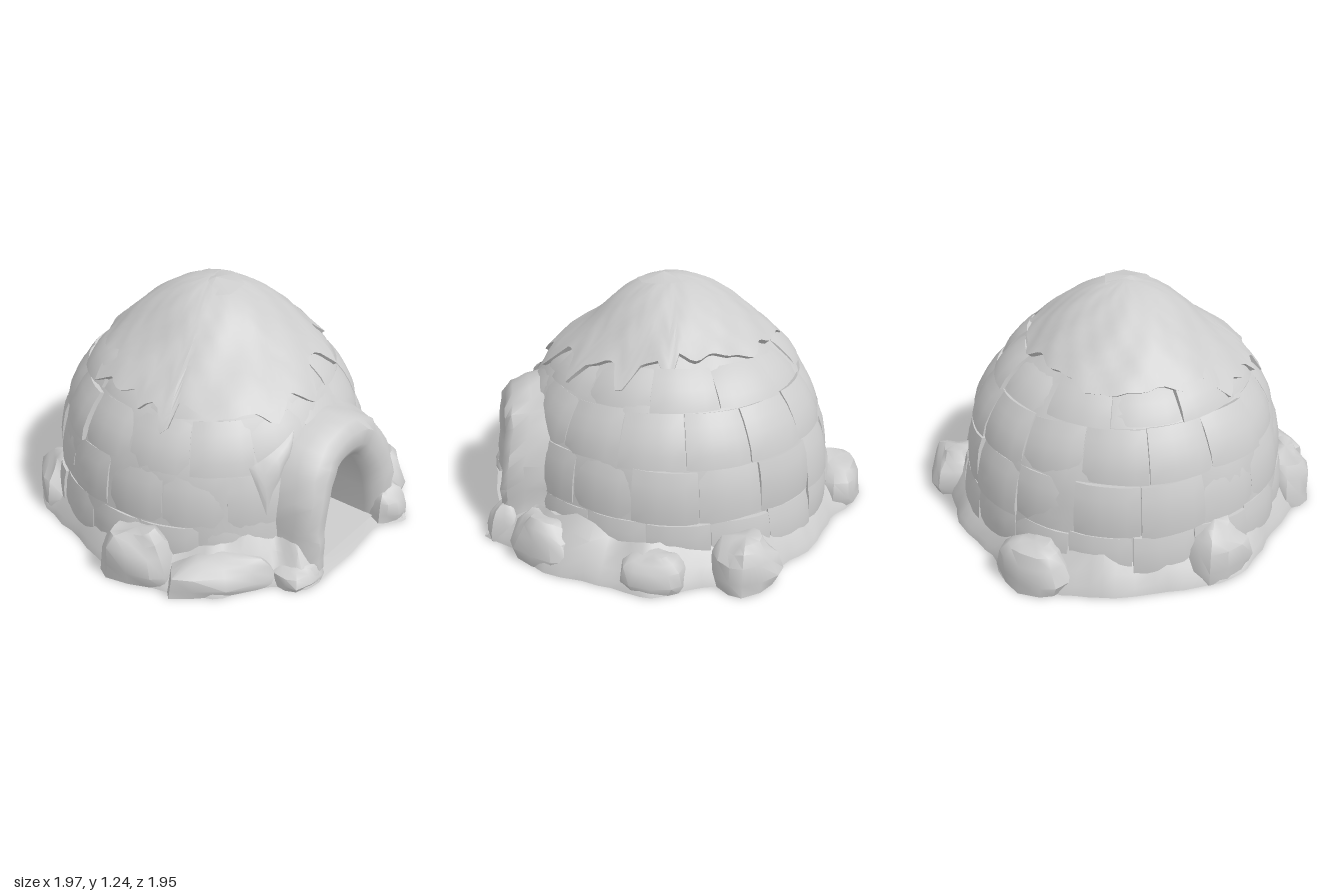
import * as THREE from 'three';
import { toCreasedNormals } from 'three/addons/utils/BufferGeometryUtils.js';

const DOOR = Math.PI / 4, TAU = Math.PI * 2;
const CX = -0.045, CZ = -0.04;

// small seeded random
let seed = 7;
const rand = () => (seed = (seed * 16807) % 2147483647) / 2147483647;
const bumps = (a, v) =>
  Math.sin(a * 5 + v * 9) * 0.4 + Math.sin(a * 11 - v * 17 + 2) * 0.35 + Math.sin(a * 19 + v * 31) * 0.25;
const angleGap = (a, b) => Math.abs(((a - b + Math.PI * 5) % TAU) - Math.PI);

// surface from a rule f(u, v) -> Vector3; skip(centre) leaves holes
function surface(nu, nv, f, crease = 0.6, skip = () => false) {
  const pts = [], idx = [];
  for (let j = 0; j <= nv; j++) for (let i = 0; i <= nu; i++) pts.push(f(i / nu, j / nv));
  const tri = (a, b, c) => {
    const m = pts[a].clone().add(pts[b]).add(pts[c]).divideScalar(3);
    if (!skip(m)) idx.push(a, b, c);
  };
  for (let j = 0; j < nv; j++) for (let i = 0; i < nu; i++) {
    const a = j * (nu + 1) + i, b = a + 1, c = a + nu + 1, d = c + 1;
    tri(a, b, d);
    tri(a, d, c);
  }
  const g = new THREE.BufferGeometry().setFromPoints(pts);
  g.setIndex(idx);
  return toCreasedNormals(g, crease);
}

// dome profile (radius, height) from ground to top
const profile = new THREE.SplineCurve([
  [0.84, 0.01], [0.82, 0.28], [0.77, 0.55], [0.67, 0.74], [0.58, 0.85],
  [0.43, 0.99], [0.29, 1.1], [0.14, 1.18], [0, 1.21],
].map(p => new THREE.Vector2(...p)));

// dome point pushed out by off, with a slight hollow high on the front
function domePoint(a, v, off) {
  const p = profile.getPointAt(THREE.MathUtils.clamp(v, 0, 1));
  const n = new THREE.Vector2(p.x, Math.max(p.y - 0.4, 0) * 0.8).normalize();
  const hollow = 0.05 * Math.max(0, Math.cos(a)) * Math.exp(-Math.pow((p.y - 1) / 0.12, 2));
  const r = v >= 1 ? 0 : p.x + n.x * off - hollow;
  return new THREE.Vector3(CX + r * 0.98 * Math.sin(a), p.y + n.y * off, CZ + r * Math.cos(a));
}

// point in doorway frame: d outward, s sideways
const doorPoint = (d, s, y) =>
  new THREE.Vector3((d + s) * Math.SQRT1_2, y, (d - s) * Math.SQRT1_2);

const arch = half => {
  const pts = half.map(p => new THREE.Vector2(...p));
  const other = half.slice(0, -1).reverse().map(([s, y]) => new THREE.Vector2(-s, y));
  return new THREE.SplineCurve([...pts, ...other]);
};

export function createModel() {
  const group = new THREE.Group();
  const snow = new THREE.MeshStandardMaterial({ color: 0xcccccc, side: THREE.DoubleSide });
  snow.name = 'snow';
  const add = (name, geometry, parent = group) => {
    const m = new THREE.Mesh(geometry, snow);
    m.name = name;
    parent.add(m);
    return m;
  };

  // dome wall with an opening behind the entrance
  add('domeWall', surface(72, 24, (u, v) =>
    domePoint(u * TAU, v, 0.01 * bumps(Math.round(u * 72) % 72 / 72 * TAU, v)), 0.6, m => {
    const d = (m.x + m.z) * Math.SQRT1_2, s = (m.x - m.z) * Math.SQRT1_2;
    return d > 0 && Math.abs(s) < 0.28 && m.y < 0.54;
  }));

  // curved snow blocks laid in staggered courses, smoother towards the front
  const blocks = new THREE.Group();
  blocks.name = 'snowBlocks';
  group.add(blocks);
  [[0.02, 0.17, 17], [0.17, 0.335, 16], [0.335, 0.5, 15], [0.5, 0.635, 12]].forEach(([v0, v1, n], row) => {
    for (let i = 0; i < n; i++) {
      const mid = (i + row * 0.45) / n * TAU, w = TAU / n - 0.008;
      const calm = Math.cos(mid - DOOR + 0.4) > 0.1;
      const out = 0.008 + rand() * (calm ? 0.01 : 0.028);
      const wild = calm ? 0.4 : 1;
      const tilt = (rand() - 0.5) * 0.045 * wild, lean = (rand() - 0.5) * 0.035 * wild, slip = (rand() - 0.5) * 0.03;
      if (row < 2 && angleGap(mid, DOOR) < 0.52) continue;
      const g = new THREE.BoxGeometry(1, 1, 1, 5, 4, 1), p = g.attributes.position;
      for (let k = 0; k < p.count; k++) {
        const x = p.getX(k), y = p.getY(k), front = p.getZ(k) > 0;
        const round = 0.01 * (Math.pow(2 * Math.abs(x), 4) + Math.pow(2 * Math.abs(y), 4));
        const off = front ? out + tilt * x + lean * y - round : -0.03;
        const q = domePoint(mid + x * w, (v0 + v1) / 2 + y * (v1 - v0 - 0.003) + slip * x, off);
        p.setXYZ(k, q.x, q.y, q.z);
      }
      add('snowBlock', toCreasedNormals(g, 0.6), blocks);
    }
  });

  // drifted snow on top, low at the front, with a ragged hanging edge: [angle, width, drop]
  const drips = [[-0.45, 0.08, 0.12], [-0.68, 0.08, 0.05], [-0.1, 0.2, 0.06], [0.35, 0.16, 0.06],
    [0.75, 0.2, 0.06], [1.25, 0.12, 0.09], [1.75, 0.13, 0.08], [2.15, 0.1, 0.1], [-1.2, 0.15, 0.06], [-2.4, 0.16, 0.05]];
  add('snowCap', surface(120, 14, (u, t) => {
    const a = (Math.round(u * 120) % 120) / 120 * TAU;
    let edge = 0.58 + 0.03 * bumps(a, 0.3) - 0.05 * Math.cos(a - 0.2) + 0.06 * Math.max(0, Math.cos(a - 1.9));
    for (const [c, w, drop] of drips) edge -= drop * Math.max(0, 1 - angleGap(a, c) / w);
    const k = Math.round(t * 14);
    const v = k === 0 ? edge : edge + (1 - edge) * (k - 1) / 13;
    const off = k === 0 ? -0.02 : 0.03 + (1 - t) * 0.012 * bumps(a, v * 1.5);
    return domePoint(a, v, off);
  }, 0.7));
  const tip = add('topCrust', new THREE.ConeGeometry(0.14, 0.035, 7));
  tip.position.set(-0.03, 1.228, 0);
  tip.rotation.set(0.06, 0.4, 0.08);

  // entrance: arched tunnel, rounded lip and outer hood flaring into the dome
  const inner = arch([[0.235, 0.015], [0.22, 0.14], [0.185, 0.3], [0.09, 0.455], [0, 0.48]]);
  const outer = arch([[0.4, 0.01], [0.385, 0.2], [0.365, 0.4], [0.25, 0.605], [0, 0.695]]);
  const rings = [[0.2, 0], [0.5, 0], [0.77, 0], [0.82, 0.08], [0.86, 0.35], [0.87, 0.7], [0.84, 0.93], [0.76, 1.05], [0.68, 1.14], [0.55, 1.26]];
  add('entranceArch', surface(28, rings.length - 1, (u, t) => {
    const [d, mix] = rings[Math.round(t * (rings.length - 1))];
    const p = inner.getPoint(u).lerp(outer.getPoint(u), mix);
    const rough = mix * 0.012 * bumps(u * 5, d * 2);
    return doorPoint(d - 0.16 * p.y * p.y + rough, p.x + rough, Math.max(0.01, p.y + rough));
  }, 0.8));
  const backWall = add('tunnelBackWall', new THREE.ShapeGeometry(new THREE.Shape(inner.getPoints(28))));
  backWall.position.copy(doorPoint(0.2, 0, 0));
  backWall.rotation.y = DOOR;
  const floor = add('tunnelFloor', new THREE.PlaneGeometry(0.47, 0.62).rotateX(-Math.PI / 2));
  floor.position.copy(doorPoint(0.51, 0, 0.035));
  floor.rotation.y = DOOR;

  // thin snow drip beside the entrance
  add('snowDrip', surface(8, 4, (u, t) => {
    const drop = [0, 0.08, 0.17, 0.11, 0.09, 0.06, 0.05, 0.03, 0][Math.round(u * 8)];
    const raised = Math.sin(Math.PI * u) * Math.sin(Math.PI * Math.min(1, t * 0.75 + 0.1));
    return domePoint(0.12 + u * 0.36, 0.36 + u * 0.08 - drop * t, 0.012 + 0.03 * raised);
  }));

  // ground skirt following a ragged outline, closed below
  const outline = new THREE.CatmullRomCurve3([
    [0, 0.92], [0.18, 0.9], [0.3, 0.95], [0.42, 0.83], [0.57, 0.69], [0.75, 0.48], [0.92, 0.44], [0.92, 0.24],
    [0.985, 0], [0.9, -0.3], [0.86, -0.54], [0.63, -0.7], [0.45, -0.88], [0.2, -0.93], [0, -0.96], [-0.25, -0.92],
    [-0.45, -0.93], [-0.68, -0.75], [-0.81, -0.58], [-0.91, -0.3], [-0.985, -0.08], [-0.96, 0.12], [-0.82, 0.36],
    [-0.67, 0.62], [-0.43, 0.85], [-0.17, 0.95],
  ].map(([x, z]) => new THREE.Vector3(x, 0, z)), true, 'catmullrom', 0.3);
  const skirt = [[0, 0], [1, 0], [0.985, 0.04], [0.945, 0.09], [0.9, 0.15], [0.84, 0.21]];
  add('groundSkirt', surface(90, skirt.length - 1, (u, t) => {
    const [k, h] = skirt[Math.round(t * (skirt.length - 1))];
    const p = outline.getPoint(u % 1);
    const a = Math.atan2(p.x, p.z);
    const low = angleGap(a, DOOR) < 0.36 ? 0.08 : 1;
    const ragged = low < 1 ? 0 : 0.014 * bumps(a * 2, k);
    const y = 0.01 + h * low * (1 + 0.35 * bumps(a, 0));
    return p.multiplyScalar(k * (1 + ragged)).setY(y);
  }));

  // loose lumps of snow around the foot: [x, z, width, height, depth, turn]
  const lumps = new THREE.Group();
  lumps.name = 'snowLumps';
  group.add(lumps);
  [[-0.48, 0.7, 0.4, 0.28, 0.27, -0.55], [-0.1, 0.83, 0.56, 0.17, 0.24, 0.1], [-0.85, 0.0, 0.28, 0.28, 0.34, 0],
    [0.45, -0.82, 0.33, 0.24, 0.28, -0.45], [-0.5, -0.79, 0.38, 0.24, 0.28, 0.5], [0.74, -0.5, 0.22, 0.19, 0.32, 0.45],
    [0.86, 0.07, 0.25, 0.24, 0.38, 0.05], [0.82, 0.36, 0.2, 0.19, 0.2, 0.5], [0.27, 0.82, 0.28, 0.11, 0.24, 0.5],
  ].forEach(([x, z, w, h, d, turn], n) => {
    const g = new THREE.SphereGeometry(1, 12, 8), p = g.attributes.position;
    const sq = c => Math.sign(c) * Math.pow(Math.abs(c), 0.75);
    for (let k = 0; k < p.count; k++) {
      const X = p.getX(k), Y = p.getY(k), Z = p.getZ(k);
      const r = 1 + 0.1 * Math.sin(X * 4 + n * 2) * Math.cos(Z * 5 + n) + 0.06 * Math.sin(Y * 6 + X * 3 + n);
      const side = r * (1 - 0.2 * Math.max(0, Y)) / 2;
      p.setXYZ(k, sq(X) * side * w, Math.max(0, sq(Y) * r * h * 0.7 + h * 0.25), sq(Z) * side * d);
    }
    const m = add('snowLump', toCreasedNormals(g, 0.8), lumps);
    m.position.set(x, 0.01, z);
    m.rotation.y = turn;
  });

  return group;
}
